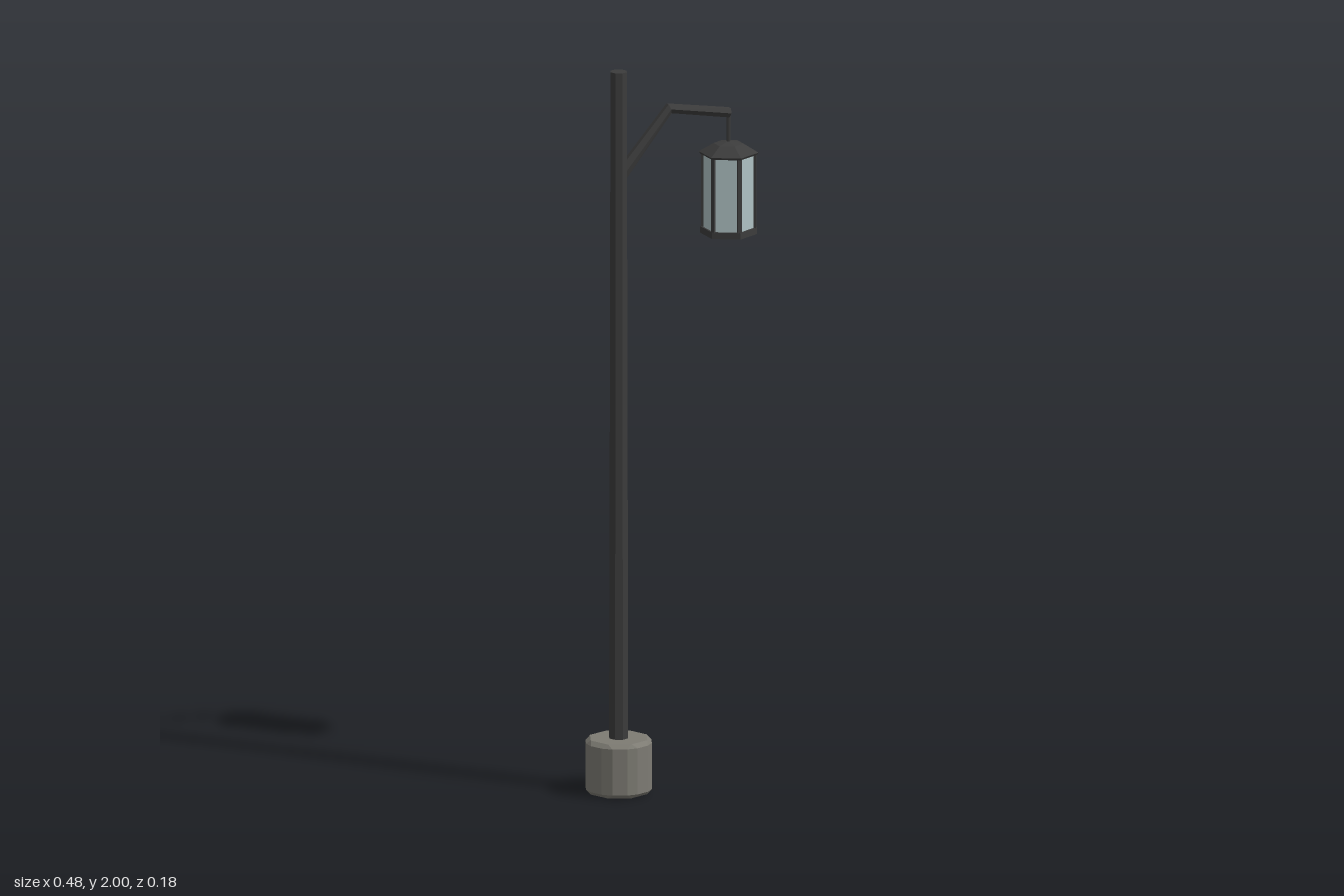
import * as THREE from 'three';

const material = (color, extra = {}) =>
  new THREE.MeshStandardMaterial({ color, flatShading: true, ...extra });

function add(parent, name, geometry, mat, x = 0, y = 0, z = 0) {
  const mesh = new THREE.Mesh(geometry, mat);
  mesh.name = name;
  mesh.position.set(x, y, z);
  parent.add(mesh);
  return mesh;
}

// Closed solid skinned over rings of points, ordered from first cap to last cap
function loft(rings) {
  const n = rings[0].length;
  const points = rings.flat();
  const index = [];
  for (let r = 0; r < rings.length - 1; r++) {
    for (let i = 0; i < n; i++) {
      const a = r * n + i, b = r * n + (i + 1) % n;
      index.push(a, b, a + n, b, b + n, a + n);
    }
  }
  const last = (rings.length - 1) * n;
  for (let i = 1; i < n - 1; i++) {
    index.push(0, i + 1, i, last, last + i, last + i + 1);
  }
  const geometry = new THREE.BufferGeometry().setFromPoints(points);
  geometry.setIndex(index);
  geometry.computeVertexNormals();
  return geometry;
}

// Octagonal block ring whose corners are cut by the given half angle
function octagonRing(radius, y, cut) {
  const ring = [];
  for (let i = 0; i < 8; i++) {
    for (const side of [-1, 1]) {
      const a = i * Math.PI / 4 + side * cut;
      ring.push(new THREE.Vector3(radius * Math.sin(a), y, radius * Math.cos(a)));
    }
  }
  return ring;
}

// Mitred hexagonal ring, swept along x in the xy plane
function armRing([x, y, slant], radius) {
  const ring = [];
  for (let i = 0; i < 6; i++) {
    const a = i * Math.PI / 3;
    const up = radius * Math.sin(a);
    ring.push(new THREE.Vector3(x + up * slant, y + up, -radius * Math.cos(a)));
  }
  return ring;
}

export function createModel() {
  const model = new THREE.Group();
  model.name = 'streetLamp';
  const stone = material(0x7d7b73);
  const metal = material(0x3c3c3c);
  const glass = material(0xafc2c4, { side: THREE.DoubleSide });
  const poleX = -0.154, lampX = 0.171;

  // Stone foot with bevelled edges
  add(model, 'base', loft([
    octagonRing(0.082, 0, 0.01),
    octagonRing(0.091, 0.011, 0.17),
    octagonRing(0.091, 0.139, 0.17),
    octagonRing(0.082, 0.15, 0.01),
  ]), stone, poleX);

  // Slightly tapered pole
  add(model, 'pole', new THREE.CylinderGeometry(0.0235, 0.0275, 1.86, 8), metal, poleX, 1.07);

  // Bent arm: x, y and slant of each cross-section
  const armPath = [[-0.145, 1.715, -0.9], [-0.005, 1.882, -0.35], [0.173, 1.852, 0.17]];
  add(model, 'arm', loft(armPath.map((p) => armRing(p, 0.0145))), metal);

  // Hanging lantern
  const lantern = new THREE.Group();
  lantern.name = 'lantern';
  lantern.position.x = lampX;
  model.add(lantern);
  add(lantern, 'hangingRod', new THREE.CylinderGeometry(0.005, 0.005, 0.09, 6), metal, 0, 1.81);
  add(lantern, 'roofCap', new THREE.CylinderGeometry(0.006, 0.041, 0.006, 6), metal, 0, 1.769);
  add(lantern, 'roof', new THREE.CylinderGeometry(0.041, 0.081, 0.024, 6), metal, 0, 1.754);
  add(lantern, 'roofRim', new THREE.CylinderGeometry(0.081, 0.077, 0.006, 6), metal, 0, 1.739);
  add(lantern, 'floor', new THREE.CylinderGeometry(0.077, 0.077, 0.018, 6), metal, 0, 1.525);
  add(lantern, 'glass', new THREE.CylinderGeometry(0.071, 0.071, 0.206, 6, 1, true), glass, 0, 1.635);

  // Corner posts between the panes
  for (let i = 0; i < 6; i++) {
    const a = i * Math.PI / 3;
    const post = add(lantern, 'cornerPost', new THREE.BoxGeometry(0.011, 0.206, 0.011), metal,
      0.069 * Math.sin(a), 1.635, 0.069 * Math.cos(a));
    post.rotation.y = a;
  }
  return model;
}
